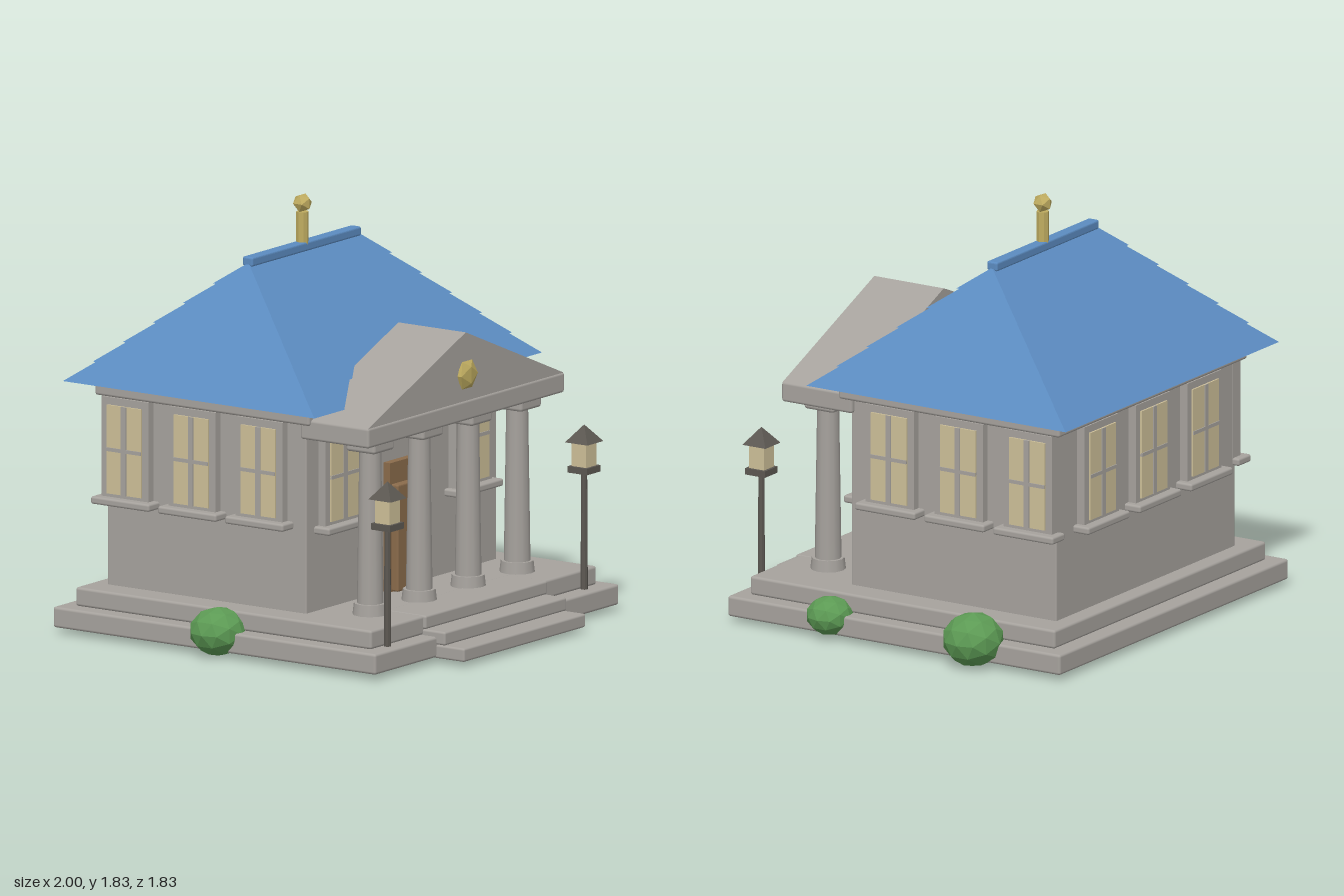
import * as THREE from 'three';
import { RoundedBoxGeometry } from 'three/addons/geometries/RoundedBoxGeometry.js';

const CX = -0.025; // building centre line

export function createModel() {
  const model = new THREE.Group();
  model.name = 'columnedHall';

  const material = (name, color, flat = true) => {
    const m = new THREE.MeshStandardMaterial({ color, flatShading: flat });
    m.name = name;
    return m;
  };
  const stone = material('stone', 0xa6a29d, false);
  const roofBlue = material('roofBlue', 0x5b8bc0);
  const glass = material('glass', 0xcdbf98);
  const wood = material('wood', 0x8a6b4b);
  const gold = material('gold', 0xbfac60);
  const metal = material('darkMetal', 0x5c5852);
  const leaf = material('leaf', 0x5c9a54);

  const add = (name, geo, mat, x = 0, y = 0, z = 0, parent = model) => {
    const mesh = new THREE.Mesh(geo, mat);
    mesh.name = name;
    mesh.position.set(x, y, z);
    parent.add(mesh);
    return mesh;
  };
  // Box given by its limits, with optional rounded edges
  const block = (name, mat, [x0, x1], [y0, y1], [z0, z1], r = 0, parent = model) => {
    const s = [x1 - x0, y1 - y0, z1 - z0];
    const geo = r ? new RoundedBoxGeometry(...s, 2, r) : new THREE.BoxGeometry(...s);
    return add(name, geo, mat, (x0 + x1) / 2, (y0 + y1) / 2, (z0 + z1) / 2, parent);
  };

  // Plinth and front steps
  block('lowerPlinth', stone, [-0.915, 0.865], [0.025, 0.115], [-0.915, 0.77], 0.012);
  block('upperPlinth', stone, [-0.848, 0.798], [0.115, 0.197], [-0.845, 0.7], 0.012);
  for (let i = 0; i < 3; i++) {
    const y = 0.022 + i * 0.059;
    block('step', stone, [-0.47, 0.42], [y, y + 0.059], [0.5, 0.915 - i * 0.1], 0.01);
  }

  // Walls and cornice
  block('walls', stone, [-0.72, 0.67], [0.19, 1.03], [-0.77, 0.27], 0.008);
  block('cornice', stone, [-0.757, 0.71], [1.02, 1.085], [-0.81, 0.31], 0.012);

  // Hipped roof made of overlapping tapered courses
  const eaves = [0.818, 0.645], ridge = [0.398, 0.006], courses = 6;
  const half = (t, k) => THREE.MathUtils.lerp(eaves[k], ridge[k], t);
  for (let i = 0; i < courses; i++) {
    const h = 0.515 / courses, lip = 0.012;
    const geo = new THREE.BoxGeometry(2, h, 2);
    const p = geo.attributes.position;
    for (let v = 0; v < p.count; v++) {
      const top = p.getY(v) > 0;
      const t = (top ? i + 1 : i) / courses, e = top ? 0 : lip;
      p.setX(v, Math.sign(p.getX(v)) * (half(t, 0) + e));
      p.setZ(v, Math.sign(p.getZ(v)) * (half(t, 1) + e));
    }
    geo.computeVertexNormals();
    add('roofCourse', geo, roofBlue, CX, 1.085 + h * (i + 0.5), -0.248);
  }
  block('ridgeCap', roofBlue, [-0.425, 0.37], [1.59, 1.63], [-0.275, -0.222], 0.008);

  // Finial
  add('finialPole', new THREE.CylinderGeometry(0.027, 0.027, 0.14, 8), gold, CX, 1.69, -0.248);
  add('finialBall', new THREE.IcosahedronGeometry(0.043, 0), gold, CX, 1.797, -0.248);

  // Portico beam and pediment
  block('entablature', stone, [-0.742, 0.692], [0.957, 1.045], [0.253, 0.61], 0.012);
  const gable = new THREE.Shape([
    new THREE.Vector2(-0.715, 0), new THREE.Vector2(0.715, 0), new THREE.Vector2(0, 0.298),
  ]);
  add('pediment', new THREE.ExtrudeGeometry(gable, { depth: 0.352, bevelEnabled: false }),
    stone, CX, 1.042, 0.253);
  const emblem = add('pedimentMedallion', new THREE.IcosahedronGeometry(0.07, 0), gold, CX, 1.158, 0.612);
  emblem.scale.z = 0.38;

  // Columns
  for (let i = 0; i < 4; i++) {
    const x = CX + (i - 1.5) * 0.357, z = 0.49;
    add('columnBase', new THREE.CylinderGeometry(0.07, 0.076, 0.05, 12), stone, x, 0.221, z);
    add('columnShaft', new THREE.CylinderGeometry(0.047, 0.057, 0.67, 12), stone, x, 0.575, z);
    block('columnCapital', stone, [x - 0.076, x + 0.076], [0.907, 0.957], [z - 0.076, z + 0.076], 0.014);
  }

  // Door
  block('doorFrame', wood, [-0.157, 0.107], [0.197, 0.757], [0.26, 0.305]);
  block('doorLeaf', wood, [-0.148, 0.098], [0.2, 0.665], [0.3, 0.34], 0.008);

  // Window facing +z, origin on the wall at the sill top
  const makeWindow = (x, y, z, angle, w, h) => {
    const g = new THREE.Group();
    g.name = 'window';
    const hw = w / 2, gw = hw - 0.032, g0 = 0.018, g1 = h - 0.032, mid = (g0 + g1) / 2;
    block('windowFrame', stone, [-hw, hw], [0, h], [-0.02, 0.038], 0, g);
    block('windowGlass', glass, [-gw, gw], [g0, g1], [0.038, 0.046], 0, g);
    block('mullion', stone, [-0.013, 0.013], [g0, g1], [0.03, 0.05], 0, g);
    block('transom', stone, [-gw, gw], [mid - 0.008, mid + 0.008], [0.03, 0.05], 0, g);
    block('windowSill', stone, [-hw - 0.03, hw + 0.03], [-0.03, 0.003], [-0.02, 0.078], 0.01, g);
    g.position.set(x, y, z);
    g.rotation.y = angle;
    model.add(g);
  };
  for (const i of [-1, 0, 1]) {
    const z = -0.3 + i * 0.35;
    makeWindow(0.67, 0.585, z, Math.PI / 2, 0.245, 0.435);
    makeWindow(-0.72, 0.585, z, -Math.PI / 2, 0.245, 0.435);
    makeWindow(CX + i * 0.4, 0.585, -0.77, Math.PI, 0.265, 0.435);
  }
  for (const s of [-1, 1]) makeWindow(CX + s * 0.475, 0.562, 0.27, 0, 0.265, 0.435);

  // Lamp posts
  for (const s of [-1, 1]) {
    const g = new THREE.Group();
    g.name = 'lampPost';
    g.position.set(CX + s * 0.717, 0.1, 0.71);
    model.add(g);
    add('lampPole', new THREE.CylinderGeometry(0.013, 0.016, 0.53, 8), metal, 0, 0.265, 0, g);
    add('lampCollar', new THREE.BoxGeometry(0.1, 0.028, 0.1), metal, 0, 0.537, 0, g);
    add('lampGlass', new THREE.BoxGeometry(0.076, 0.108, 0.076), glass, 0, 0.603, 0, g);
    const cap = add('lampCap', new THREE.ConeGeometry(0.083, 0.075, 4), metal, 0, 0.692, 0, g);
    cap.rotation.y = Math.PI / 4;
  }

  // Bushes: x, y, z, radius, height scale
  for (const [x, y, z, r, sy] of [
    [0.862, 0.118, -0.475, 0.134, 0.88],
    [0.832, 0.1, 0.27, 0.104, 0.82],
    [-0.878, 0.106, -0.075, 0.126, 0.84],
  ]) {
    add('bush', new THREE.IcosahedronGeometry(r, 1), leaf, x, y, z).scale.y = sy;
  }

  return model;
}
